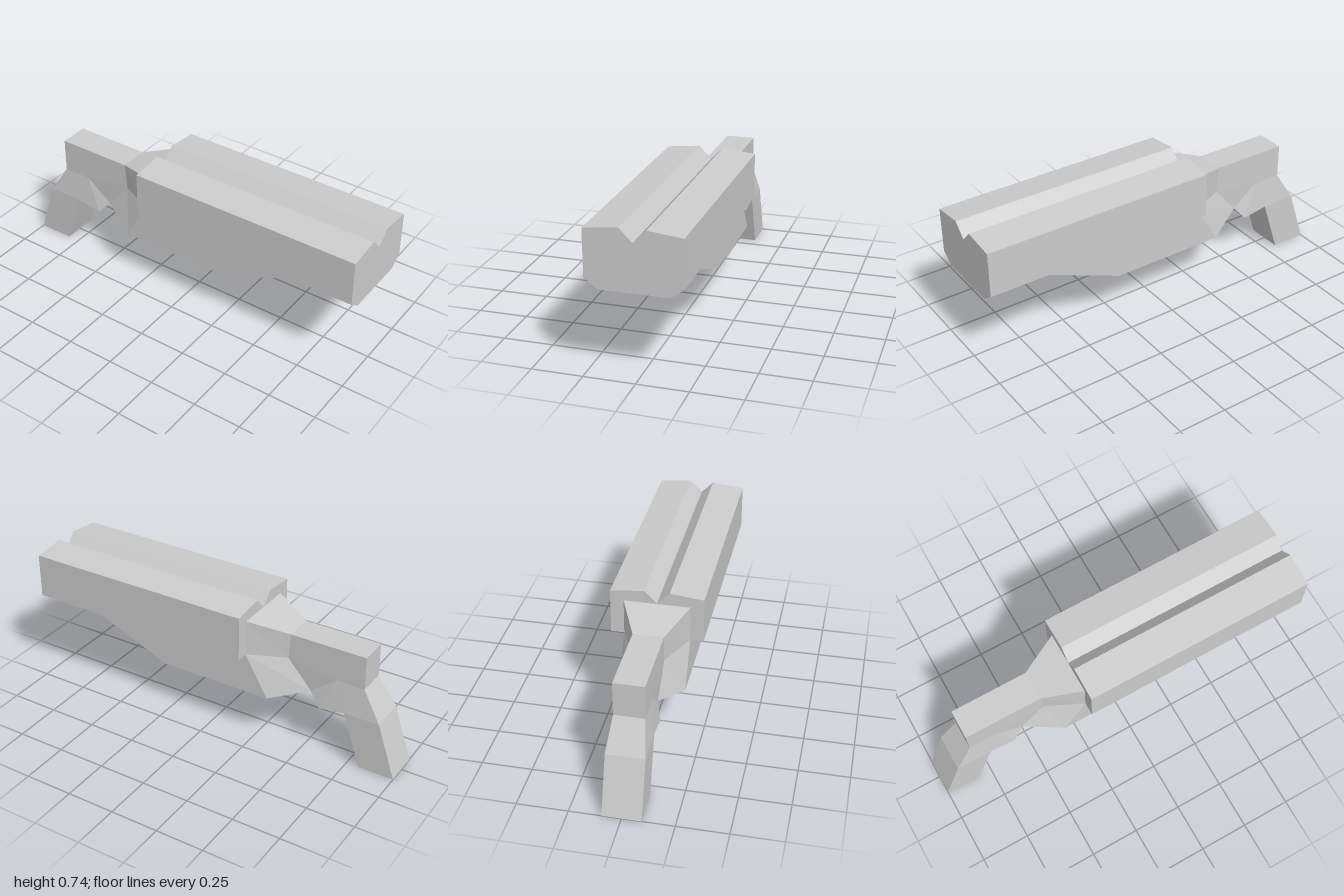
import * as THREE from 'three';

// Turns a list of 3D polygons (convex, counter-clockwise) into a faceted mesh
function facetMesh(name, polygons) {
  const positions = [];
  for (const p of polygons) {
    for (let i = 1; i < p.length - 1; i++) positions.push(...p[0], ...p[i], ...p[i + 1]);
  }
  const geometry = new THREE.BufferGeometry();
  geometry.setAttribute('position', new THREE.Float32BufferAttribute(positions, 3));
  geometry.computeVertexNormals();
  const material = new THREE.MeshStandardMaterial({ color: 0xcccccc, flatShading: true });
  const mesh = new THREE.Mesh(geometry, material);
  mesh.name = name;
  return mesh;
}

// Grip, waist and lower housing: corners of one side as x, y, half width
function createBody() {
  const v = {
    A: [-0.81, 0.615, 0.075], B: [-0.41, 0.615, 0.075], C: [-0.21, 0.67, 0.165],
    D: [-0.81, 0.44, 0.075], E: [-0.66, 0.44, 0.075], F: [-0.4, 0.48, 0.075], G: [-0.21, 0.485, 0.165],
    H: [-0.905, 0.285, 0.094], I: [-0.72, 0.285, 0.094], J: [-1, 0, 0.094], K: [-0.815, 0, 0.094],
    L: [-0.585, 0.263, 0.094], M: [-0.525, 0.33, 0.07],
    N: [-0.335, 0.27, 0.165], O: [0.265, 0.27, 0.165], P: [0.665, 0.437, 0.165],
  };
  const mirror = ([x, y, z]) => [x, y, -z];
  const polygons = [];

  // Side facets, mirrored
  for (const face of ['ADEFB', 'BFGC', 'DHIE', 'HJKI', 'EIL', 'ELM', 'EMF', 'FMNG', 'GNOP']) {
    const p = [...face].map((k) => v[k]);
    polygons.push(p, p.map(mirror).reverse());
  }

  // Strip across the width, along the outline
  const outline = [...'CBADHJKILMNOP'];
  for (let i = 0; i < outline.length - 1; i++) {
    const a = v[outline[i]], b = v[outline[i + 1]];
    polygons.push([a, mirror(a), mirror(b), b]);
  }
  return facetMesh('gripAndHousing', polygons);
}

// Long upper block with a V groove; its underside rises towards the rear
function createBarrel() {
  const section = (bottom) => {
    const half = [[0.165, bottom], [0.23, 0.485], [0.23, 0.717], [0.0625, 0.735]];
    return [...half, [0, 0.671], ...half.map(([u, y]) => [-u, y]).reverse()];
  };
  const rings = [[-0.213, 0.485], [0.665, 0.437], [0.997, 0.437]].map(([x, bottom]) =>
    section(bottom).map(([u, y]) => [x, y, -u]));
  const polygons = [];
  for (let r = 0; r < rings.length - 1; r++) {
    const back = rings[r], front = rings[r + 1];
    back.forEach((p, i) => {
      const j = (i + 1) % back.length;
      polygons.push([p, back[j], front[j], front[i]]);
    });
  }

  // End caps
  const contour = section(0.437).map(([u, y]) => new THREE.Vector2(u, y));
  for (const t of THREE.ShapeUtils.triangulateShape(contour, [])) {
    polygons.push(t.map((i) => rings[2][i]), t.map((i) => rings[0][i]).reverse());
  }
  return facetMesh('groovedBarrel', polygons);
}

export function createModel() {
  const group = new THREE.Group();
  group.name = 'blaster';
  group.add(createBody(), createBarrel());
  return group;
}
